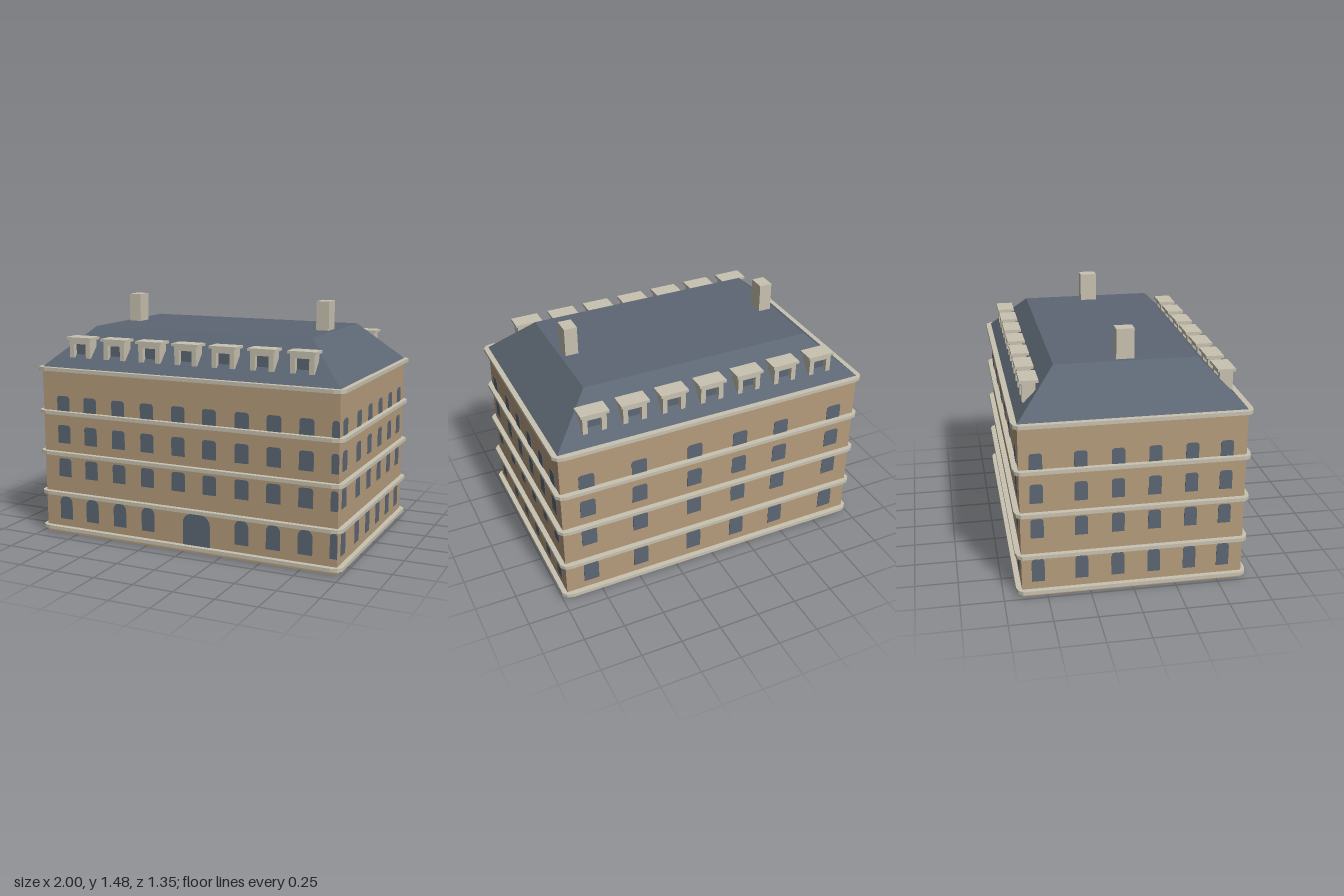
import * as THREE from 'three';

const mat = (name, color) => {
  const m = new THREE.MeshStandardMaterial({ color });
  m.name = name;
  return m;
};

export function createModel() {
  const wall = mat('tan wall', 0xb59c7c);
  const trim = mat('pale stone', 0xc8c2b0);
  const slate = mat('slate blue', 0x5c6673);
  const building = new THREE.Group();
  building.name = 'building';

  const add = (parent, name, geometry, material) => {
    const mesh = new THREE.Mesh(geometry, material);
    mesh.name = name;
    parent.add(mesh);
    return mesh;
  };
  // Box given by its limits on each axis
  const box = (parent, name, x0, x1, y0, y1, z0, z1, material) => {
    const mesh = add(parent, name, new THREE.BoxGeometry(x1 - x0, y1 - y0, z1 - z0), material);
    mesh.position.set((x0 + x1) / 2, (y0 + y1) / 2, (z0 + z1) / 2);
    return mesh;
  };

  const W = 0.97, D = 0.645;

  // Walls, with a stone underside
  box(building, 'walls', -W, W, 0, 1.05, -D, D, [wall, wall, wall, trim, wall, wall]);

  // Stone bands with clipped corners
  const quarter = [[1.0, 0.64], [0.978, 0.667], [0.94, 0.677]];
  const flipped = [...quarter].reverse();
  const outline = [
    ...quarter,
    ...flipped.map(([x, z]) => [-x, z]),
    ...quarter.map(([x, z]) => [-x, -z]),
    ...flipped.map(([x, z]) => [x, -z]),
  ].map(([x, z]) => new THREE.Vector2(x, z));
  const bandGeometry = new THREE.ExtrudeGeometry(new THREE.Shape(outline), { depth: 0.022, bevelEnabled: false });
  bandGeometry.rotateX(-Math.PI / 2);
  for (const y of [0.024, 0.25, 0.509, 0.768, 1.039]) {
    add(building, 'stoneBand', bandGeometry, trim).position.y = y;
  }

  // Hipped roof with a flat top
  const roofGeometry = new THREE.BoxGeometry(2 * W, 0.24, 2 * D);
  const p = roofGeometry.attributes.position;
  for (let i = 0; i < p.count; i++) {
    if (p.getY(i) > 0) p.setXYZ(i, Math.sign(p.getX(i)) * 0.715, 0.12, Math.sign(p.getZ(i)) * 0.412);
  }
  roofGeometry.computeVertexNormals();
  add(building, 'roof', roofGeometry, slate).position.y = 1.18;

  // Chimneys
  for (const s of [-1, 1]) {
    box(building, 'chimney', s * 0.647 - 0.04, s * 0.647 + 0.04, 1.28, 1.475, -0.052, 0.052, trim);
  }

  // Dormers along the front and back slopes
  for (const turn of [0, Math.PI]) {
    const row = new THREE.Group();
    row.name = turn ? 'backDormers' : 'frontDormers';
    row.rotation.y = turn;
    building.add(row);
    for (let i = -3; i <= 3; i++) {
      const dormer = new THREE.Group();
      dormer.name = 'dormer';
      dormer.position.x = i * 0.242;
      row.add(dormer);
      for (const s of [-1, 1]) {
        box(dormer, 'dormerPost', s * 0.057 - 0.015, s * 0.057 + 0.015, 1.12, 1.206, 0.52, 0.598, trim);
      }
      box(dormer, 'dormerLintel', -0.072, 0.072, 1.206, 1.232, 0.52, 0.598, trim);
      box(dormer, 'dormerGlass', -0.043, 0.043, 1.12, 1.206, 0.56, 0.568, slate);
      box(dormer, 'dormerCap', -0.086, 0.086, 1.232, 1.248, 0.505, 0.61, trim);
    }
  }

  // Window plate from x0 to x1 with rounded upper corners
  const windowPlate = (x0, x1, y0, y1, r) => {
    const s = new THREE.Shape();
    s.moveTo(x0, y0);
    s.lineTo(x1, y0);
    s.lineTo(x1, y1 - r);
    s.absarc(x1 - r, y1 - r, r, 0, Math.PI / 2, false);
    s.lineTo(x0 + r, y1);
    s.absarc(x0 + r, y1 - r, r, Math.PI / 2, Math.PI, false);
    s.closePath();
    return new THREE.ExtrudeGeometry(s, { depth: 0.003, bevelEnabled: false, curveSegments: 6 });
  };

  // One facade: columns are window centres from its left to its right
  const upperRows = [[0.37, 0.487], [0.585, 0.7], [0.788, 0.884]];
  const facade = (name, turn, distance, limit, columns, width, door) => {
    const face = new THREE.Group();
    face.name = name;
    face.rotation.y = turn;
    building.add(face);
    const place = (label, x0, x1, y0, y1, r) => {
      add(face, label, windowPlate(x0, Math.min(x1, limit), y0, y1, r), slate).position.z = distance;
    };
    for (const x of columns) {
      const a = x - width / 2, b = x + width / 2;
      const room = Math.min(b, limit) - a;
      for (const [y0, y1] of upperRows) place('window', a, b, y0, y1, 0.018);
      // The doorway takes the place of two ground windows
      if (!door || x < -0.1 || x > 0.3) place('archedWindow', a, b, 0.093, 0.242, room * 0.46);
    }
    if (door) place('doorway', 0.0, 0.178, 0.046, 0.24, 0.06);
  };

  const sideColumns = [-0.55, -0.3, -0.09, 0.12, 0.33, 0.53];
  facade('frontWindows', 0, D, W,
    [-0.826, -0.634, -0.436, -0.238, -0.028, 0.176, 0.383, 0.582, 0.778, 0.97], 0.088, true);
  facade('backWindows', Math.PI, D, W, [-0.81, -0.485, -0.13, 0.17, 0.45, 0.825], 0.095, false);
  facade('leftWindows', Math.PI / 2, W, D, sideColumns, 0.074, false);
  facade('rightWindows', -Math.PI / 2, W, D, sideColumns, 0.074, false);

  return building;
}
